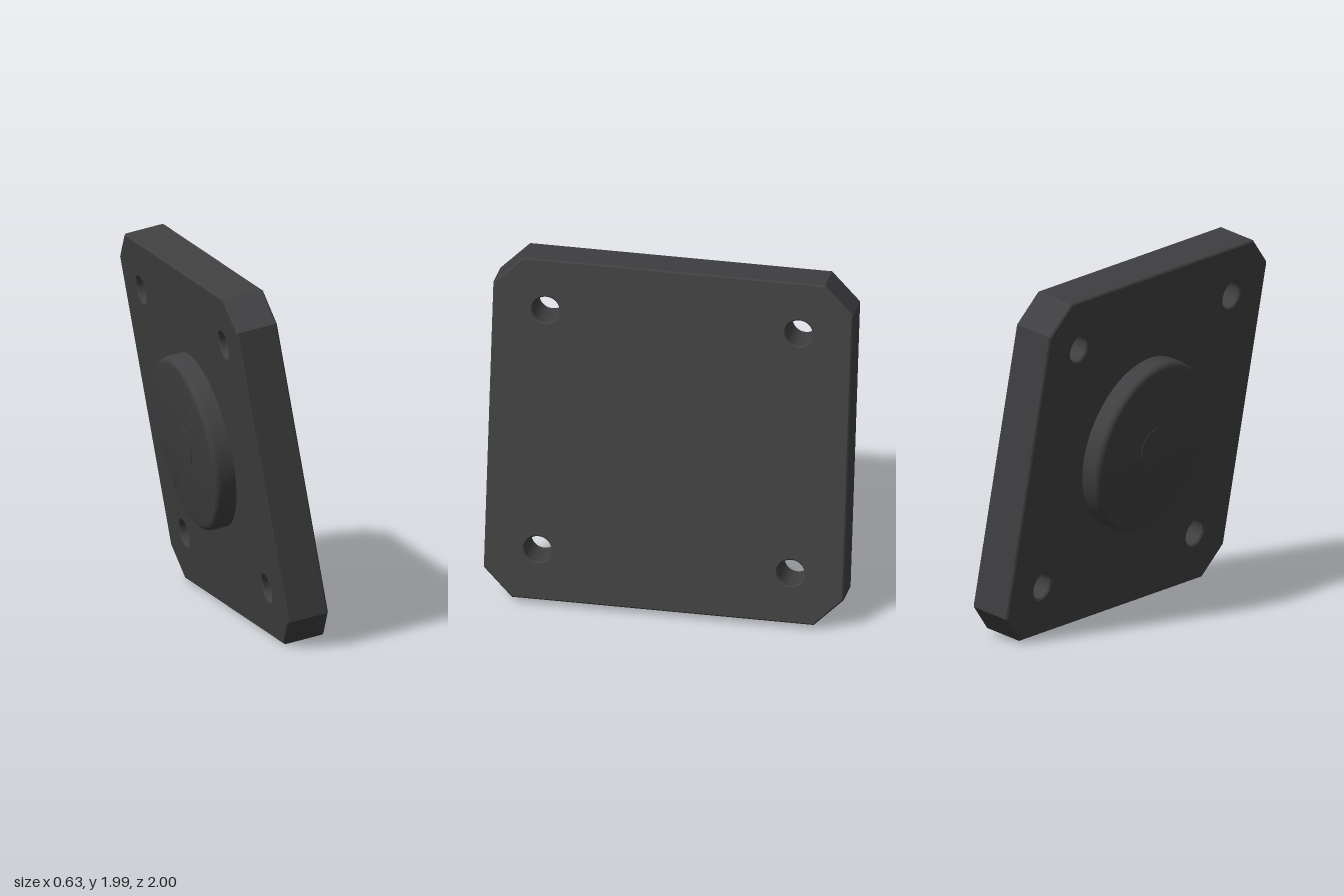
import * as THREE from 'three';
import { toCreasedNormals } from 'three/addons/utils/BufferGeometryUtils.js';

const W = 1.99, H = 1.985, T = 0.235;   // plate width, height, thickness
const CUT = 0.16;                       // corner chamfer
const HOLE_R = 0.075, HOLE_AT = 0.7;    // mounting holes
const BEVEL = 0.008;

function plateShape() {
  const a = W / 2, b = H / 2;
  const shape = new THREE.Shape([
    [a - CUT, -b], [a, -b + CUT], [a, b - CUT], [a - CUT, b],
    [-a + CUT, b], [-a, b - CUT], [-a, -b + CUT], [-a + CUT, -b],
  ].map(([x, y]) => new THREE.Vector2(x, y)));
  for (const sx of [-1, 1]) for (const sy of [-1, 1]) {
    const hole = new THREE.Path();
    hole.absarc(sx * HOLE_AT, sy * HOLE_AT, HOLE_R, 0, Math.PI * 2, true);
    shape.holes.push(hole);
  }
  return shape;
}

export function createModel() {
  const group = new THREE.Group();
  group.name = 'mountingPlate';
  const material = new THREE.MeshStandardMaterial({ color: 0x404042 });
  const add = (name, geometry) => {
    const mesh = new THREE.Mesh(toCreasedNormals(geometry, 0.5), material);
    mesh.name = name;
    group.add(mesh);
    return mesh;
  };

  // Square plate with cut corners and four through holes, facing +x
  const plate = new THREE.ExtrudeGeometry(plateShape(), {
    depth: T - 2 * BEVEL, curveSegments: 24, bevelEnabled: true,
    bevelThickness: BEVEL, bevelSize: BEVEL, bevelOffset: -BEVEL, bevelSegments: 1,
  });
  plate.translate(0, 0, -T / 2 + BEVEL);
  plate.rotateY(Math.PI / 2);
  add('plate', plate);

  // Round boss with a filleted rim on the -x face
  const R = 0.49, D = 0.115, F = 0.035;
  const profile = [new THREE.Vector2(R, -0.01)];
  for (let i = 0; i <= 6; i++) {
    const t = (i / 6) * Math.PI / 2;
    profile.push(new THREE.Vector2(R - F + F * Math.cos(t), D - F + F * Math.sin(t)));
  }
  profile.push(new THREE.Vector2(0, D));
  const boss = new THREE.LatheGeometry(profile, 72);
  boss.rotateZ(Math.PI / 2);
  add('boss', boss).position.x = -T / 2;

  // Nearly flush pin face in the middle of the boss
  const pin = new THREE.CylinderGeometry(0.115, 0.115, 0.04, 48);
  pin.rotateZ(Math.PI / 2);
  add('centrePin', pin).position.x = -T / 2 - D + 0.017;

  // Lean towards -x with a slight turn
  group.rotation.set(0, THREE.MathUtils.degToRad(-1.75), THREE.MathUtils.degToRad(10.2), 'YXZ');
  group.position.y = 0.9975;
  const model = new THREE.Group();
  model.add(group);
  return model;
}
